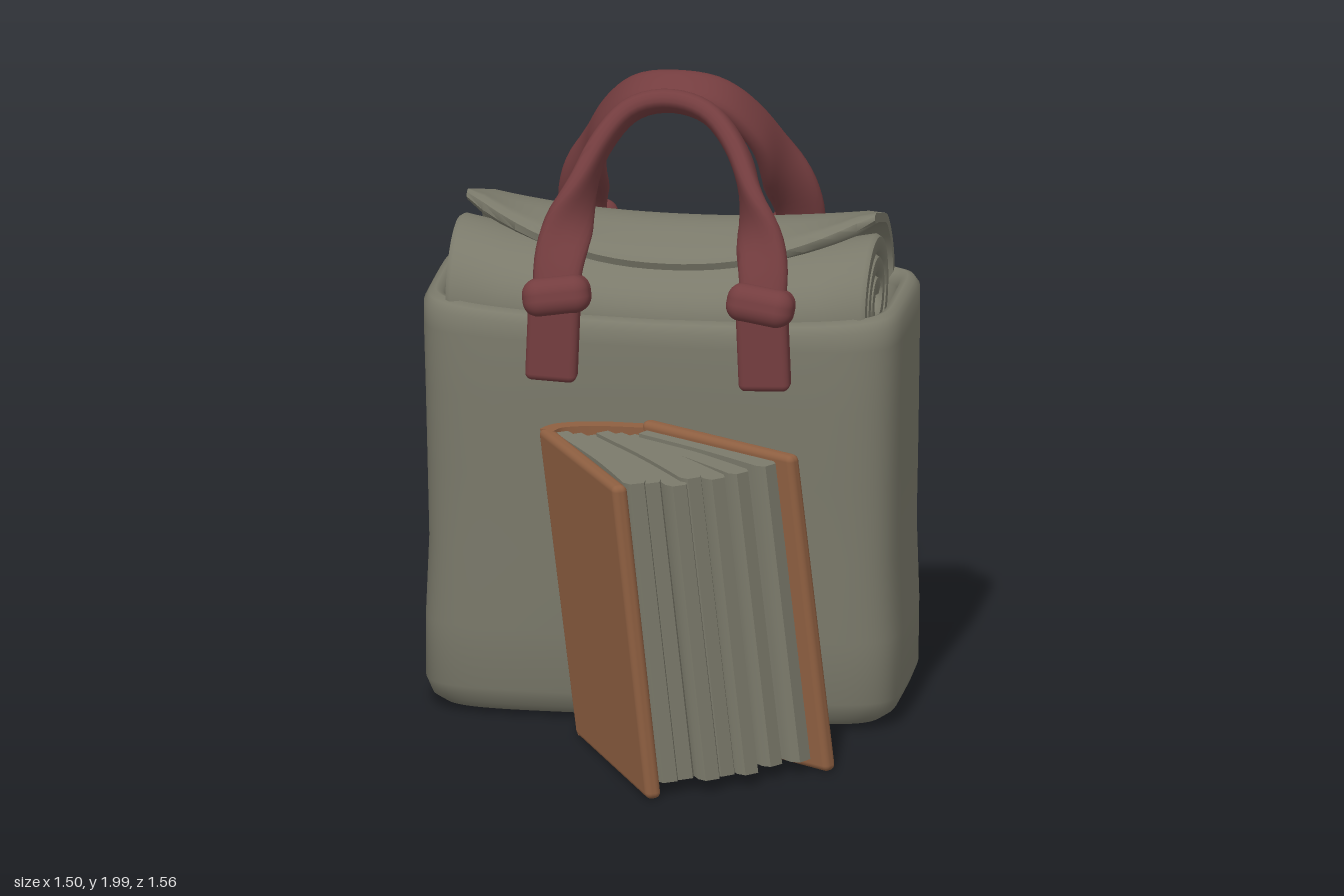
import * as THREE from 'three';
import { toCreasedNormals } from 'three/addons/utils/BufferGeometryUtils.js';
import { RoundedBoxGeometry } from 'three/addons/geometries/RoundedBoxGeometry.js';

const mat = (name, color) => {
  const m = new THREE.MeshStandardMaterial({ color });
  m.name = name;
  return m;
};

// Skin over a list of closed rings (even point count), capped at both ends
function loft(rings, crease = 0.9) {
  const n = rings[0].length, last = (rings.length - 1) * n, idx = [];
  for (let i = 0; i < rings.length - 1; i++)
    for (let j = 0; j < n; j++) {
      const a = i * n + j, b = i * n + (j + 1) % n;
      idx.push(a, b, b + n, a, b + n, a + n);
    }
  for (let j = 0; j < n / 2 - 1; j++) {
    const a = j, b = j + 1, c = n - 2 - j, d = n - 1 - j;
    idx.push(a, c, b, a, d, c);
    idx.push(last + a, last + b, last + c, last + a, last + c, last + d);
  }
  const g = new THREE.BufferGeometry();
  g.setAttribute('position', new THREE.Float32BufferAttribute(rings.flat(2), 3));
  g.setIndex(idx);
  return toCreasedNormals(g, crease);
}

// Closed outline of a 2D path thickened by half(t) to each side
function band(pts, half) {
  const left = [], right = [];
  pts.forEach(([x, y], i) => {
    const p = pts[Math.max(i - 1, 0)], q = pts[Math.min(i + 1, pts.length - 1)];
    const dx = q[0] - p[0], dy = q[1] - p[1], l = Math.hypot(dx, dy);
    const h = half(i / (pts.length - 1)) / l;
    left.push([x - dy * h, y + dx * h]);
    right.unshift([x + dy * h, y - dx * h]);
  });
  return [...left, ...right];
}

const smooth = (pts, n) => new THREE.SplineCurve(pts.map(p => new THREE.Vector2(...p)))
  .getPoints(n).map(p => [p.x, p.y]);
const power = (v, e) => Math.sign(v) * Math.abs(v) ** e;

// Bag: rounded rectangular sections up the outside, over the rim and down inside
function bagGeometry() {
  const sections = [ // y, half width, front z, back z
    [0.02, 0.64, -0.05, -0.55], [0.025, 0.69, -0.02, -0.6], [0.05, 0.725, 0.005, -0.64],
    [0.1, 0.745, 0.02, -0.66], [0.3, 0.745, 0.03, -0.685], [0.55, 0.735, 0.03, -0.7],
    [0.8, 0.74, 0.035, -0.7], [1.05, 0.745, 0.04, -0.69], [1.25, 0.75, 0.04, -0.67],
    [1.315, 0.75, 0.035, -0.66], [1.34, 0.735, 0.02, -0.645], [1.35, 0.715, 0, -0.625],
    [1.34, 0.695, -0.02, -0.605], [1.31, 0.685, -0.03, -0.59], [1.15, 0.675, -0.03, -0.59]];
  return loft(sections.map(([y, hw, zf, zb], s) => {
    const ring = [];
    for (let j = 0; j < 96; j++) {
      const a = j / 96 * Math.PI * 2, c = power(Math.cos(a), 0.34), k = power(-Math.sin(a), 0.34);
      const mid = Math.cos(c * Math.PI / 2);
      const bulge = k < 0 ? 0.05 * mid * Math.sin(Math.PI * Math.min(y / 1.4, 1)) : 0.03 * mid * (y - 0.5);
      const sag = s > 8 && s < 14 ? 0.02 * (1 - c * c) : 0;
      ring.push([hw * c, y - sag, (zf + zb) / 2 + k * ((zf - zb) / 2 + bulge)]);
    }
    return ring;
  }), 1.1);
}

// Blanket roll: spiral band drawn out along x, sagging in the middle
function rollGeometry() {
  const spiral = [];
  for (let i = 0; i <= 100; i++) {
    const t = i / 100, a = 2.6 - t * 16.2, r = 0.045 + 0.195 * t;
    spiral.push([-0.28 + r * Math.cos(a), 1.335 + 0.85 * r * Math.sin(a)]);
  }
  const xs = [-0.665, -0.65, -0.5, -0.33, -0.16, 0, 0.16, 0.33, 0.5, 0.635, 0.65];
  return loft(xs.map((x, i) => {
    const h = i === 0 || i === xs.length - 1 ? 0.02 : 0.032;
    const dip = 0.07 * (1 - (x / 0.665) ** 2);
    return band(spiral, () => h).map(([z, y]) => [x, y - dip * Math.max(0, (y - 1.2) / 0.3), z]);
  }));
}

// Flap: sheet from the back over the roll, low in the middle and lifted at the ends
function flapGeometry() {
  const middle = [[-0.54, 1.22], [-0.545, 1.37], [-0.45, 1.495], [-0.28, 1.53], [-0.09, 1.465]];
  const end = [[-0.555, 1.22], [-0.56, 1.4], [-0.46, 1.545], [-0.34, 1.595], [-0.2, 1.635]];
  const rings = [];
  for (let i = 0; i <= 24; i++) {
    const u = i / 12 - 1, k = Math.abs(u) ** 2.2;
    const pts = middle.map((p, j) => p.map((v, c) => v + (end[j][c] - v) * k));
    const h = Math.abs(u) === 1 ? 0.014 : 0.025;
    const out = band(smooth(pts, 20), t => h * (t > 0.99 ? 0.5 : t > 0.88 ? 1.15 : 1));
    rings.push(out.map(([z, y]) => [0.015 + u * 0.64, y - 0.015 * Math.max(u, 0) * k, z]));
  }
  return loft(rings);
}

// Handle: flat strap that twists from facing the bag to facing the arch
function handleGeometry(xl, xr) {
  const half = [[1, 1.36, 0.07], [1, 1.5, 0.02], [0.86, 1.67, -0.08], [0.68, 1.82, -0.17], [0.38, 1.925, -0.23]];
  const pts = [...half.map(([f, y, z]) => new THREE.Vector3(xl * f, y, z)),
    new THREE.Vector3(0, 1.952, -0.255),
    ...half.reverse().map(([f, y, z]) => new THREE.Vector3(xr * f, y, z))];
  const curve = new THREE.CatmullRomCurve3(pts), normal = new THREE.Vector3(0, 0.45, 0.89), rings = [];
  for (let i = 0; i <= 56; i++) {
    const t = i / 56, T = curve.getTangentAt(t), side = Math.min(t, 1 - t);
    const k = THREE.MathUtils.smoothstep(side, 0.04, 0.32);
    const W = new THREE.Vector3(t < 0.5 ? -1 : 1, 0, 0).lerp(normal, k);
    W.addScaledVector(T, -W.dot(T)).normalize();
    const B = T.clone().cross(W), P = curve.getPointAt(t), ring = [];
    const width = 0.07 + 0.012 * Math.sin(Math.PI * Math.min(side / 0.4, 1));
    for (let j = 0; j < 20; j++) {
      const a = j / 20 * Math.PI * 2;
      ring.push(P.clone().addScaledVector(W, power(Math.cos(a), 0.7) * width)
        .addScaledVector(B, power(Math.sin(a), 0.7) * 0.034).toArray());
    }
    rings.push(ring);
  }
  return loft(rings, 1.2);
}

// The book leans: its plan shifts and spreads towards the bottom
function lean(g) {
  const p = g.attributes.position;
  for (let i = 0; i < p.count; i++) {
    const d = 1 - p.getY(i), z = p.getZ(i);
    p.setXYZ(i, p.getX(i) + 0.12 * d, p.getY(i), z + (0.12 * z - 0.02) * d);
  }
  return g;
}
const standing = (plan, y0, y1) =>
  lean(loft([y0, y1].map(y => plan.map(([x, z]) => [x, y, z])), 0.6));

function coverGeometry([x0, z0], [x1, z1], top) {
  const g = new RoundedBoxGeometry(Math.hypot(x1 - x0, z1 - z0), top - 0.01, 0.05, 3, 0.02);
  g.rotateY(-Math.atan2(z1 - z0, x1 - x0));
  g.translate((x0 + x1) / 2, (top + 0.01) / 2, (z0 + z1) / 2);
  return lean(g);
}

export function createModel() {
  const model = new THREE.Group();
  model.name = 'bagWithBook';
  const cloth = mat('greyCloth', 0x7b7a6b);
  const strap = mat('redStrap', 0x743d3f);
  const leather = mat('brownCover', 0x8e5f41);
  const add = (parent, name, geo, m) => {
    const mesh = new THREE.Mesh(geo, m);
    mesh.name = name;
    parent.add(mesh);
    return mesh;
  };

  add(model, 'bagBody', bagGeometry(), cloth);
  add(model, 'blanketRoll', rollGeometry(), cloth);
  add(model, 'blanketFlap', flapGeometry(), cloth);

  // Two handles, each with a knot and tab at both feet
  for (const [name, xl, xr, back] of [['frontHandle', -0.3, 0.34, false], ['backHandle', -0.345, 0.335, true]]) {
    const g = new THREE.Group();
    g.name = name;
    add(g, 'strapArch', handleGeometry(xl, xr), strap);
    for (const x of [xl, xr]) {
      const s = Math.sign(x);
      const knot = add(g, 'knot', new RoundedBoxGeometry(0.21, 0.12, 0.14, 4, 0.05), strap);
      knot.position.set(x, 1.405, 0.065);
      knot.rotation.set(-0.2, 0, -s * 0.15);
      const tab = add(g, 'tab', new RoundedBoxGeometry(0.16, 0.26, 0.075, 3, 0.022), strap);
      tab.position.set(x + 0.01 * s, 1.265, 0.075);
      tab.rotation.z = s * 0.04;
    }
    if (back) {
      g.rotation.y = Math.PI;
      g.position.z = -0.637;
    }
    model.add(g);
  }

  // Open book standing in front
  const book = new THREE.Group();
  book.name = 'book';
  add(book, 'leftCover', coverGeometry([-0.325, 0.14], [0.005, 0.715], 1.0), leather);
  add(book, 'rightCover', coverGeometry([-0.02, 0.075], [0.5, 0.375], 1.02), leather);
  const spine = smooth([[-0.315, 0.17], [-0.28, 0.115], [-0.17, 0.08], [0, 0.075]], 16);
  add(book, 'spine', standing(band(spine, () => 0.024), 0.012, 1.0), leather);

  // Fanned page bundles
  const ends = smooth([[0.045, 0.655], [0.17, 0.615], [0.28, 0.545], [0.42, 0.4]], 6);
  ends.forEach(([x, z], i) => {
    const f = i / 6, r = [-0.27 + 0.25 * f, 0.165 - 0.04 * f], k = i % 2 ? 0.97 : 1.01;
    const e = [r[0] + (x - r[0]) * k, r[1] + (z - r[1]) * k];
    const mid = [(r[0] + e[0]) / 2 + 0.015 * (1 - f), (r[1] + e[1]) / 2 - 0.01 * f];
    const plan = band(smooth([r, mid, e], 14), t => (0.022 + 0.016 * t) * (t > 0.99 ? 0.6 : 1));
    add(book, 'pageBundle', standing(plan, 0.05, 0.995 - 0.006 * (i % 3)), cloth);
  });
  model.add(book);
  return model;
}
